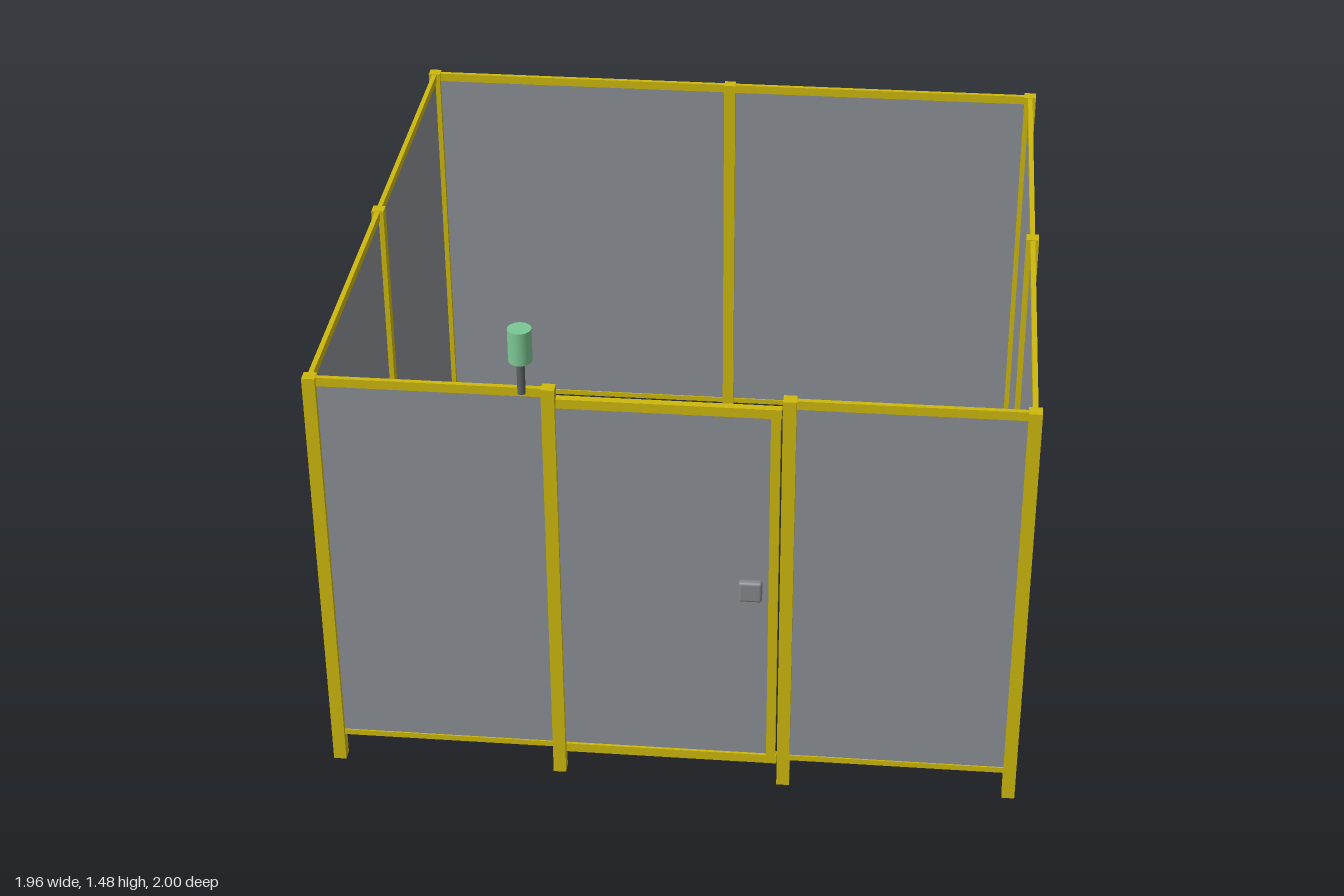
import * as THREE from 'three';
import { RoundedBoxGeometry } from 'three/addons/geometries/RoundedBoxGeometry.js';

export function createModel() {
  const root = new THREE.Group();
  root.name = 'safetyFence';

  const mat = (name, color) => {
    const m = new THREE.MeshStandardMaterial({ color });
    m.name = name;
    return m;
  };
  const yellow = mat('yellow frame', 0xcdb80c);
  const grey = mat('grey panel', 0x8b8f94);
  const dark = mat('dark grey pole', 0x5c6064);
  const lockGrey = mat('lock grey', 0x85888d);
  const green = mat('green lamp', 0x7cc894);

  const add = (parent, name, geometry, material, x, y, z) => {
    const m = new THREE.Mesh(geometry, material);
    m.name = name;
    m.position.set(x, y, z);
    parent.add(m);
    return m;
  };
  const box = (parent, name, material, w, h, d, x, y, z) =>
    add(parent, name, new THREE.BoxGeometry(w, h, d), material, x, y, z);

  const H = 1.28, POST = 0.036;
  const X = 0.96, ZF = 0.933, ZB = -0.982, ZM = (ZF + ZB) / 2;

  // Posts at the corners, wall middles and both sides of the door
  const posts = [
    [-X, ZF], [-0.32, ZF], [0.32, ZF], [X, ZF],
    [X, ZM], [X, ZB], [0, ZB], [-X, ZB], [-X, ZM],
  ];
  for (const [x, z] of posts) box(root, 'post', yellow, POST, H, POST, x, H / 2, z);

  // One fence bay between neighbouring posts, with top and bottom rails
  const bay = (a, b) => {
    const g = new THREE.Group();
    g.name = 'fenceBay';
    const dx = b[0] - a[0], dz = b[1] - a[1];
    const len = Math.hypot(dx, dz) - POST;
    g.position.set((a[0] + b[0]) / 2, 0, (a[1] + b[1]) / 2);
    g.rotation.y = Math.atan2(-dz, dx);
    box(g, 'topRail', yellow, len, 0.026, 0.014, 0, 1.265, 0);
    box(g, 'bottomRail', yellow, len, 0.017, 0.014, 0, 0.09, 0);
    box(g, 'panel', grey, len, 1.154, 0.006, 0, 0.675, 0);
    root.add(g);
  };
  posts.forEach((p, i) => {
    if (i !== 1) bay(p, posts[(i + 1) % posts.length]);
  });

  // Door with top and bottom bars and a stile on the lock side
  const door = new THREE.Group();
  door.name = 'door';
  door.position.z = ZF;
  root.add(door);
  box(door, 'doorTopBar', yellow, 0.6, 0.028, 0.022, 0, 1.236, 0);
  box(door, 'doorBottomBar', yellow, 0.6, 0.028, 0.022, 0, 0.084, 0);
  box(door, 'doorStile', yellow, 0.026, 1.124, 0.022, 0.284, 0.66, 0);
  box(door, 'doorPanel', grey, 0.573, 1.124, 0.006, -0.0155, 0.66, 0);

  // Lock box
  add(door, 'lock', new RoundedBoxGeometry(0.064, 0.064, 0.024, 2, 0.008),
    lockGrey, 0.223, 0.677, 0.027);

  // Signal lamp on its pole
  add(root, 'lampPole', new THREE.CylinderGeometry(0.011, 0.011, 0.1, 20), dark, -0.385, 1.33, 0.968);
  add(root, 'lamp', new THREE.CylinderGeometry(0.032, 0.032, 0.096, 32), green, -0.385, 1.428, 0.968);

  return root;
}
